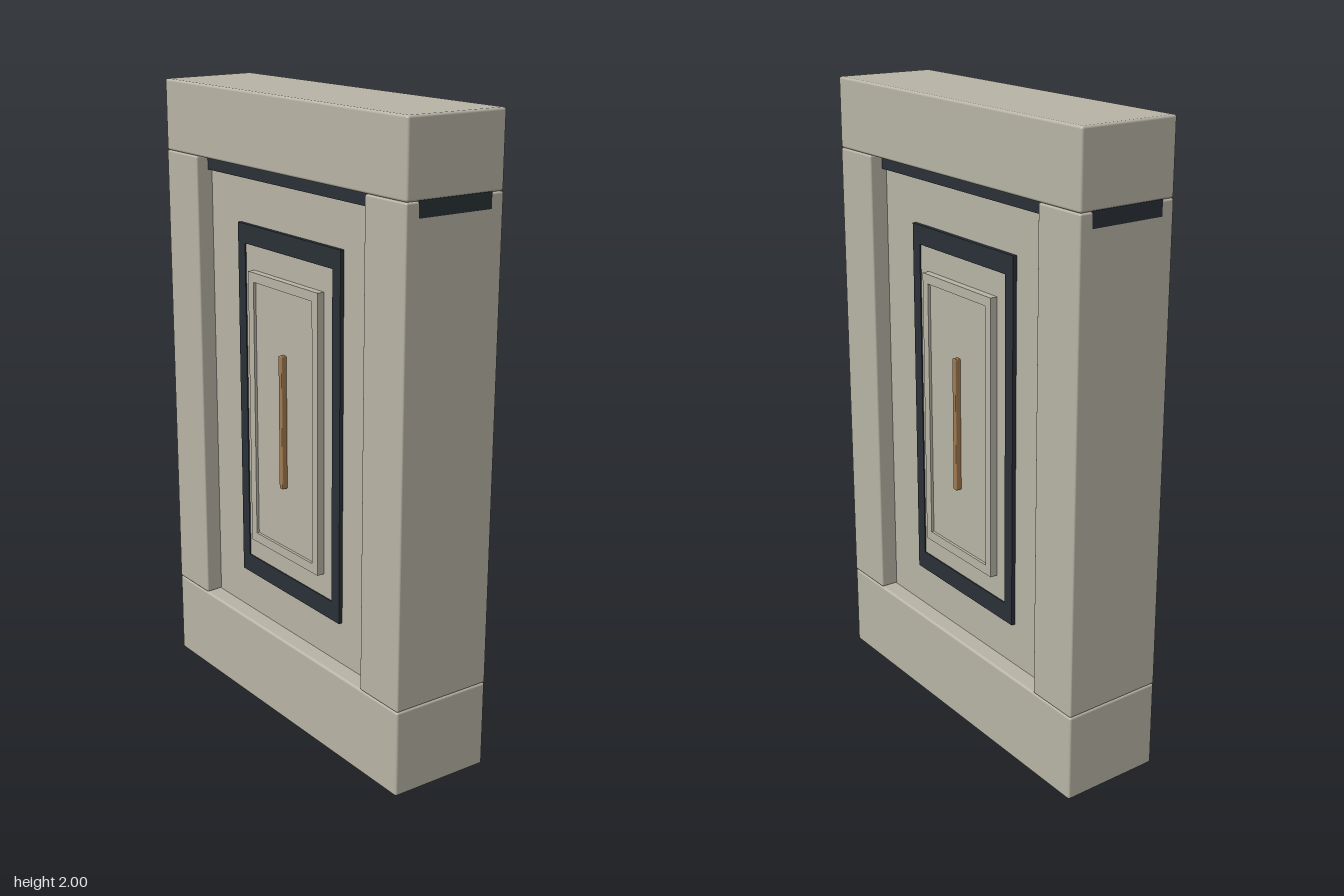
import * as THREE from 'three';
import { RoundedBoxGeometry } from 'three/addons/geometries/RoundedBoxGeometry.js';

const stone = new THREE.MeshStandardMaterial({ color: 0xb8b4a6 });
const dark = new THREE.MeshStandardMaterial({ color: 0x2a3137 });
const bronze = new THREE.MeshStandardMaterial({ color: 0xa07a50 });

// The wall narrows slightly from back to front.
function taper(geometry) {
  const p = geometry.attributes.position;
  for (let i = 0; i < p.count; i++) p.setX(i, p.getX(i) * (1 - 0.059 * p.getZ(i)));
  return geometry;
}

// Box given by its limits, with softened edges when radius > 0.
function block(name, material, [x0, x1], [y0, y1], [z0, z1], radius = 0, tapered = true) {
  const size = [x1 - x0, y1 - y0, z1 - z0];
  const geometry = radius ? new RoundedBoxGeometry(...size, 2, radius) : new THREE.BoxGeometry(...size);
  geometry.translate((x0 + x1) / 2, (y0 + y1) / 2, (z0 + z1) / 2);
  const mesh = new THREE.Mesh(tapered ? taper(geometry) : geometry, material);
  mesh.name = name;
  return mesh;
}

// Rectangular ring lying between z0 and z1.
function frame(name, material, outer, inner, z0, z1) {
  const corners = ([w, y0, y1]) => [[-w, y0], [w, y0], [w, y1], [-w, y1]].map(c => new THREE.Vector2(...c));
  const shape = new THREE.Shape(corners(outer));
  shape.holes.push(new THREE.Path(corners(inner).reverse()));
  const geometry = new THREE.ExtrudeGeometry(shape, { depth: z1 - z0, bevelEnabled: false });
  const mesh = new THREE.Mesh(geometry.translate(0, 0, z0), material);
  mesh.name = name;
  return mesh;
}

// Ornament on one face of the wall.
function decoration(name) {
  const group = new THREE.Group();
  group.name = name;
  group.add(
    frame('darkFrame', dark, [0.263, 0.42, 1.588], [0.225, 0.482, 1.527], 0.1, 0.123),
    block('innerPanel', stone, [-0.226, 0.226], [0.481, 1.528], [0.1, 0.119], 0, false),
    frame('moulding', stone, [0.18, 0.557, 1.45], [0.152, 0.588, 1.42], 0.11, 0.143),
    block('centrePanel', stone, [-0.153, 0.153], [0.587, 1.421], [0.11, 0.134], 0, false),
    block('bronzeBar', bronze, [-0.009, 0.009], [0.79, 1.22], [0.125, 0.152], 0.003, false)
  );
  return group;
}

export function createModel() {
  const model = new THREE.Group();
  model.name = 'wallSegment';
  const depth = [-0.167, 0.167];

  // Base, cap and recessed core
  model.add(
    block('base', stone, [-0.609, 0.609], [0, 0.28], depth, 0.008),
    block('cap', stone, [-0.609, 0.609], [1.775, 2], depth, 0.008),
    block('core', stone, [-0.45, 0.45], [0.26, 1.735], [-0.11, 0.11], 0.008)
  );

  // Side posts
  for (const [side, s] of [['left', 1], ['right', -1]]) {
    const x = s > 0 ? [0.43, 0.609] : [-0.609, -0.43];
    model.add(block(side + 'Post', stone, x, [0.28, 1.775], depth, 0.006));
  }

  // Shadow strip under the cap, reaching the end faces
  model.add(block('shadowStrip', dark, [-0.6094, 0.6094], [1.73, 1.778], [-0.125, 0.125]));

  // Same ornament on both faces
  const back = decoration('backDecoration');
  back.rotation.y = Math.PI;
  model.add(decoration('frontDecoration'), back);
  return model;
}
